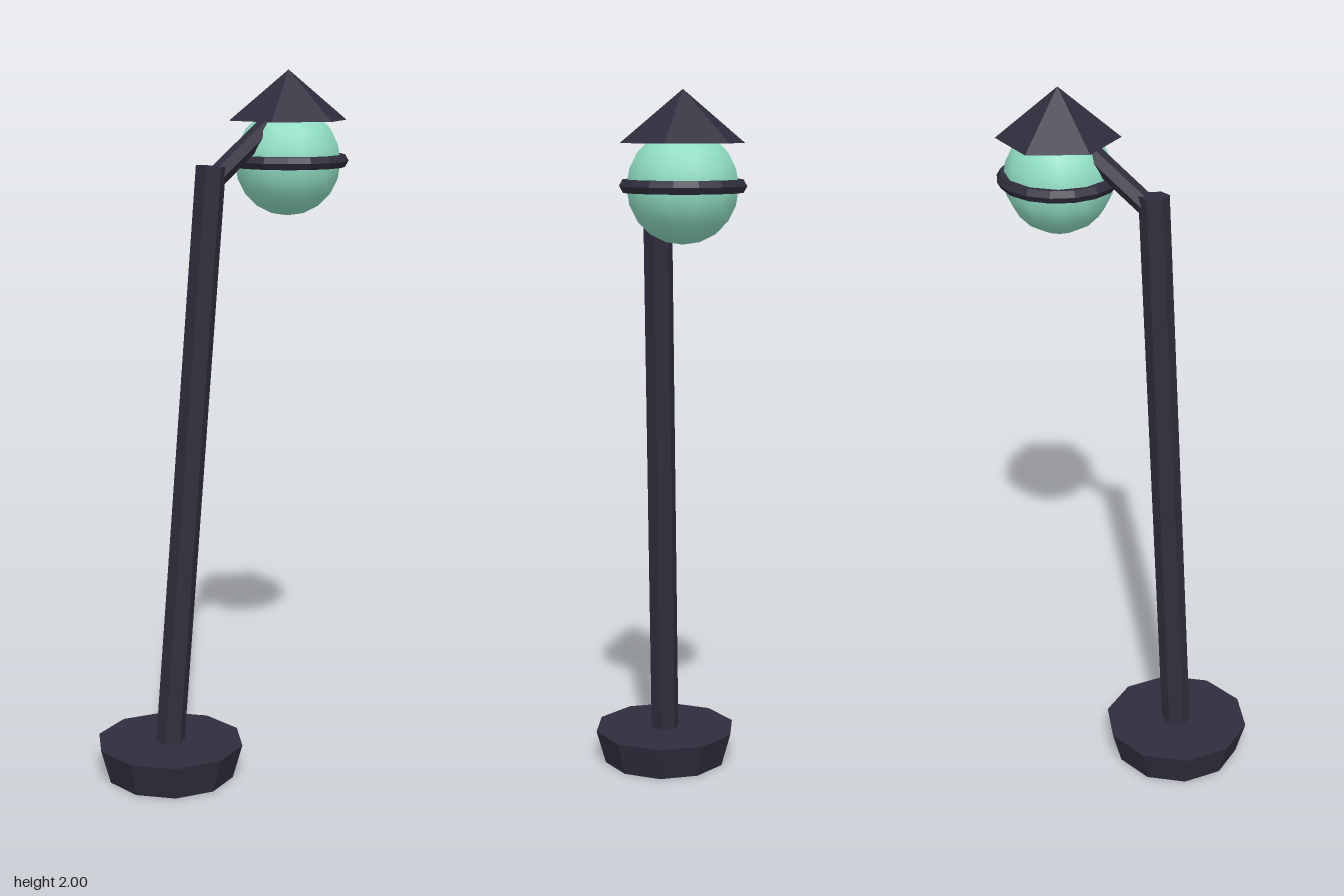
import * as THREE from 'three';

export function createModel() {
  const model = new THREE.Group();
  model.name = 'streetLamp';

  const metal = new THREE.MeshStandardMaterial({ color: 0x2f2d3c, flatShading: true });
  metal.name = 'dark metal';
  const glass = new THREE.MeshStandardMaterial({ color: 0x8fdcc2 });
  glass.name = 'mint glass';

  const add = (name, geometry, material, x, y, z) => {
    const mesh = new THREE.Mesh(geometry, material);
    mesh.name = name;
    mesh.position.set(x, y, z);
    model.add(mesh);
    return mesh;
  };

  // Six-sided bar between two points
  const bar = (name, from, to, radius) => {
    const a = new THREE.Vector3(...from);
    const b = new THREE.Vector3(...to);
    const mid = a.clone().add(b).multiplyScalar(0.5);
    const geometry = new THREE.CylinderGeometry(radius, radius, a.distanceTo(b), 6);
    const mesh = add(name, geometry, metal, mid.x, mid.y, mid.z);
    mesh.quaternion.setFromUnitVectors(new THREE.Vector3(0, 1, 0), b.sub(a).normalize());
  };

  // Ten-sided foot, wider at the top
  add('base', new THREE.CylinderGeometry(0.213, 0.185, 0.1, 10), metal, -0.191, 0.05, -0.006);

  // Leaning pole and the arm that carries the lamp
  bar('pole', [-0.195, 0.03, -0.008], [-0.073, 1.745, 0.042], 0.042);
  bar('arm', [-0.07, 1.702, 0.042], [0.13, 1.84, 0.042], 0.029);

  // Lamp head: globe, ring and pointed cap
  const [x, y, z] = [0.22, 1.746, 0.042];
  add('globe', new THREE.SphereGeometry(0.153, 12, 10), glass, x, y, z);
  add('ring', new THREE.TorusGeometry(0.152, 0.02, 6, 16), metal, x, y + 0.002, z).rotation.x = Math.PI / 2;
  add('cap', new THREE.ConeGeometry(0.171, 0.14, 6), metal, x, 1.93, z);

  return model;
}
